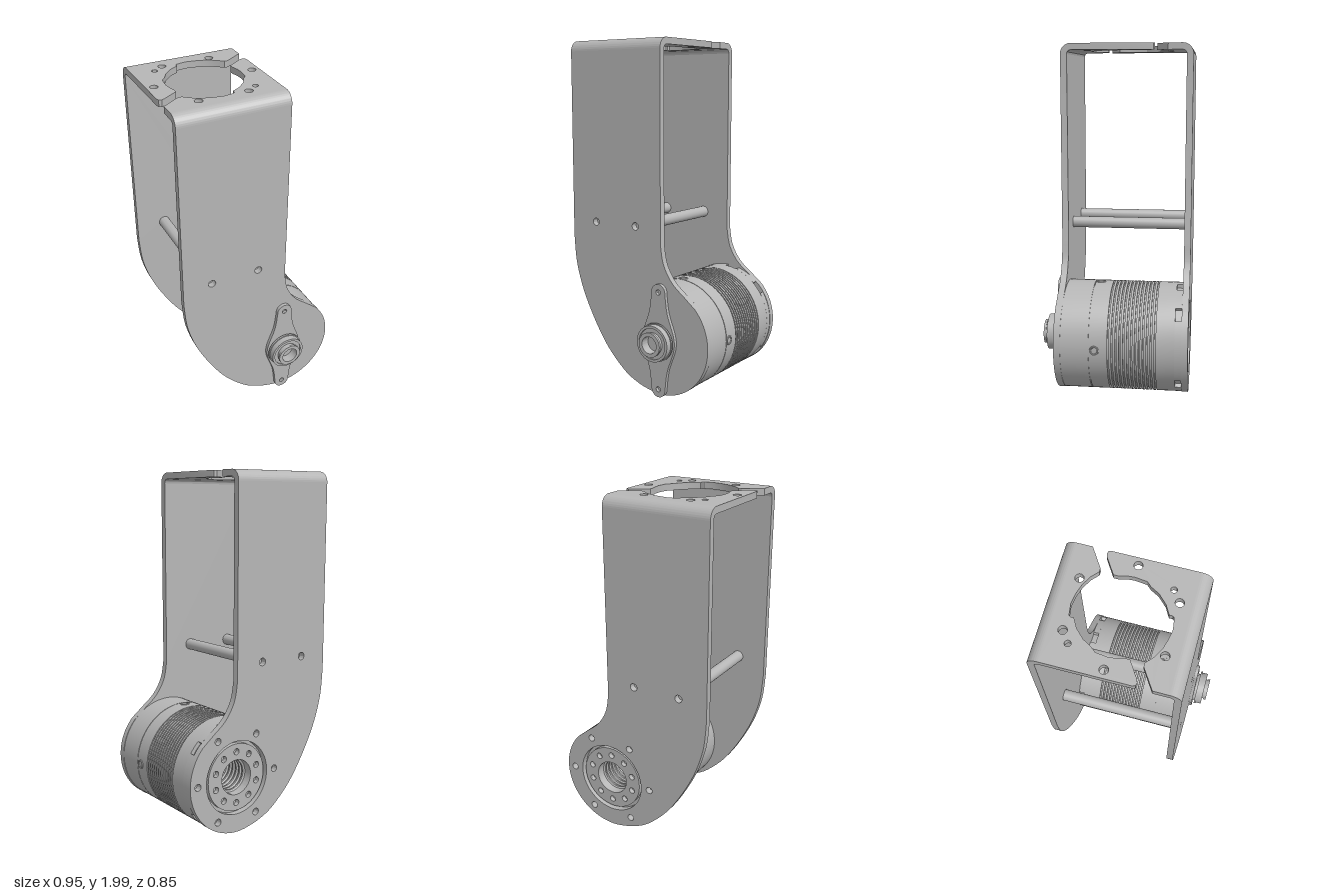
import * as THREE from 'three';
import { toCreasedNormals } from 'three/addons/utils/BufferGeometryUtils.js';

const T = 0.037;               // sheet thickness
const AX = 0.155, AY = 0.335;  // actuator axis
const FRONT = 0.32, BACK = -0.42, TOP = 2, BEND = 0.06;
const LEFT = -0.475, RIGHT = 0.157;

export function createModel() {
  const group = new THREE.Group();
  const metal = new THREE.MeshStandardMaterial({ color: 0xb6b6b6 });
  metal.name = 'grey metal';

  const add = (name, geo, parent = group) => {
    const mesh = new THREE.Mesh(toCreasedNormals(geo, 0.5), metal);
    mesh.name = name;
    parent.add(mesh);
    return mesh;
  };
  const circle = (x, y, r) => new THREE.Path().absarc(x, y, r, 0, Math.PI * 2, true);
  const extrude = (shape, depth, z = 0) =>
    new THREE.ExtrudeGeometry(shape, { depth, bevelEnabled: false, curveSegments: 32 }).translate(0, 0, z);
  const polar = (r, deg) => [r * Math.cos(deg * Math.PI / 180), r * Math.sin(deg * Math.PI / 180)];
  // Turned part: [radius, z] points, running forward on the outside
  const turn = (pts) => new THREE.LatheGeometry(pts.map(([r, z]) => new THREE.Vector2(r, z)), 64)
    .rotateX(Math.PI / 2).translate(AX, AY, 0);
  const v = (pts) => pts.map(([x, y]) => new THREE.Vector2(x, y));

  // Side plates: straight above, sweeping round the actuator below
  const rodXs = [-0.303, -0.017], rodY = 0.965;
  const sideShape = () => {
    const s = new THREE.Shape();
    s.moveTo(RIGHT, TOP - BEND);
    s.lineTo(LEFT, TOP - BEND);
    s.lineTo(LEFT, 0.87);
    s.splineThru(v([[-0.455, 0.69], [-0.385, 0.49], [-0.25, 0.26], [-0.11, 0.115], [0, 0.053], [0.1, 0.025]]));
    s.absarc(AX, AY, 0.315, -1.65, 0.75, false);
    s.splineThru(v([[0.32, 0.603], [0.235, 0.675], [0.178, 0.77], [RIGHT, 0.88]]));
    rodXs.forEach((x) => s.holes.push(circle(x, rodY, 0.022)));
    return s;
  };
  add('frontPlate', extrude(sideShape(), T, FRONT - T));
  const backShape = sideShape();
  backShape.holes.push(circle(AX, AY, 0.21));
  for (let i = 0; i < 6; i++) {
    const [dx, dy] = polar(0.265, i * 60);
    backShape.holes.push(circle(AX + dx, AY + dy, 0.02));
  }
  add('backPlate', extrude(backShape, T, BACK));

  // Rounded bends joining side plates to the top
  const bend = (name, z, a0) => {
    const s = new THREE.Shape();
    s.absarc(-z, TOP - BEND, BEND, a0, a0 + Math.PI / 2, false);
    s.absarc(-z, TOP - BEND, BEND - T, a0 + Math.PI / 2, a0, true);
    add(name, extrude(s, RIGHT - LEFT).rotateY(Math.PI / 2).translate(LEFT, 0, 0));
  };
  bend('frontBend', FRONT - BEND, Math.PI / 2);
  bend('backBend', BACK + BEND, 0);

  // Top flanges: two equal halves, turned half round, with a round opening between
  const flange = [[LEFT, BACK + BEND], [RIGHT, BACK + BEND], [RIGHT, -0.28], [0.055, -0.213], [0.035, -0.213],
    [0.0, -0.245], [-0.05, -0.273], [-0.1, -0.288], [-0.155, -0.297], [-0.215, -0.288], [-0.222, -0.28],
    [-0.222, -0.262], [-0.27, -0.235], [-0.315, -0.19], [-0.34, -0.145], [-0.362, -0.12], [-0.369, -0.06],
    [-0.366, -0.02], [-0.355, 0.02], [-0.356, 0.045], [-0.44, 0.1], [-0.455, 0.105], [-0.47, 0.1], [LEFT, 0.085]];
  const flangeHoles = [[-0.295, -0.295, 0.022], [-0.02, -0.295, 0.022], [-0.353, -0.253, 0.016], [-0.433, -0.058, 0.022]];
  for (const side of [1, -1]) {
    const place = ([x, z]) => (side > 0 ? [x, z] : [LEFT + RIGHT - x, BACK + FRONT - z]);
    const s = new THREE.Shape(v(flange.map(place)));
    flangeHoles.forEach((h) => s.holes.push(circle(...place(h), h[2])));
    add(side > 0 ? 'backTopFlange' : 'frontTopFlange', extrude(s, T).rotateX(Math.PI / 2).translate(0, TOP, 0));
  }

  // Spacer rods between the side plates
  rodXs.forEach((x) => {
    const length = FRONT - BACK - 2 * T;
    add('spacerRod', new THREE.CylinderGeometry(0.033, 0.033, length, 24)
      .rotateX(Math.PI / 2).translate(x, rodY, (FRONT + BACK) / 2));
  });

  // Actuator housing: cooling grooves outside, ribbed bore at the back
  const actuator = new THREE.Group();
  actuator.name = 'actuator';
  group.add(actuator);
  const R = 0.3125, inner = BACK + T;
  const profile = [[0.1, inner], [0.29, inner], [0.29, -0.348], [R, -0.348]];
  for (let i = 0; i < 13; i++) {
    const z = -0.245 + i * 0.0215;
    profile.push([R, z], [R - 0.013, z], [R - 0.013, z + 0.008], [R, z + 0.008]);
  }
  profile.push([R, 0.121], [R - 0.004, 0.121], [R - 0.004, 0.125], [R, 0.125], [R, FRONT - T], [0, FRONT - T]);
  profile.push([0, 0.1], [0.1, 0.1]);
  for (let z = 0.08; z > inner + 0.03; z -= 0.03) profile.push([0.1, z], [0.09, z - 0.005], [0.09, z - 0.015], [0.1, z - 0.02]);
  profile.push([0.1, inner]);
  add('housing', turn(profile), actuator);

  // Notched rim at the back of the housing
  const notches = [40, 80, 160, 200, 280, 320];
  notches.forEach((a, i) => {
    const a0 = (a + 7) * Math.PI / 180;
    const a1 = ((notches[i + 1] ?? 400) - 7) * Math.PI / 180;
    const s = new THREE.Shape();
    s.absarc(AX, AY, R, a0, a1, false);
    s.absarc(AX, AY, 0.285, a1, a0, true);
    add('rimSegment', extrude(s, 0.036, inner), actuator);
  });

  // Output disc with a ring of ten screw holes
  const disc = new THREE.Shape().absarc(AX, AY, 0.192, 0, Math.PI * 2, false);
  disc.holes.push(circle(AX, AY, 0.1));
  for (let i = 0; i < 10; i++) {
    const [dx, dy] = polar(0.147, i * 36 + 18);
    disc.holes.push(circle(AX + dx, AY + dy, 0.018));
  }
  add('outputDisc', extrude(disc, 0.028, inner - 0.028), actuator);

  // Screw sockets round the housing
  for (let i = 0; i < 4; i++) {
    const a = i * Math.PI / 2;
    add('screwSocket', new THREE.TorusGeometry(0.022, 0.006, 8, 24).rotateY(Math.PI / 2)
      .translate(R - 0.002, 0, 0.093).rotateZ(a).translate(AX, AY, 0), actuator);
  }

  // Two-ended lever on the front
  const lever = new THREE.Shape();
  const tip = 0.28, tr = 0.046;
  lever.absarc(AX, AY + tip, tr, -0.1, Math.PI + 0.1, false);
  lever.splineThru(v([[AX - 0.062, AY + 0.165], [AX - 0.105, AY + 0.04], [AX - 0.105, AY - 0.04],
    [AX - 0.062, AY - 0.165], [AX - tr, AY - tip]]));
  lever.absarc(AX, AY - tip, tr, Math.PI, Math.PI * 2, false);
  lever.splineThru(v([[AX + 0.062, AY - 0.165], [AX + 0.105, AY - 0.04], [AX + 0.105, AY + 0.04],
    [AX + 0.062, AY + 0.165], [AX + tr, AY + tip - 0.005]]));
  for (const s of [1, -1]) lever.holes.push(circle(AX, AY + s * tip, 0.015));
  add('lever', extrude(lever, 0.02, FRONT));

  // Flanged bearing hub with a bored end
  add('hub', turn([[0, 0.335], [0.09, 0.335], [0.09, 0.354], [0.109, 0.354], [0.109, 0.365], [0.103, 0.365],
    [0.103, 0.4], [0.088, 0.4], [0.088, 0.392], [0.064, 0.392], [0.064, 0.412], [0.07, 0.412],
    [0.07, 0.425], [0.048, 0.425], [0.048, 0.37], [0, 0.37]]));

  return group;
}
